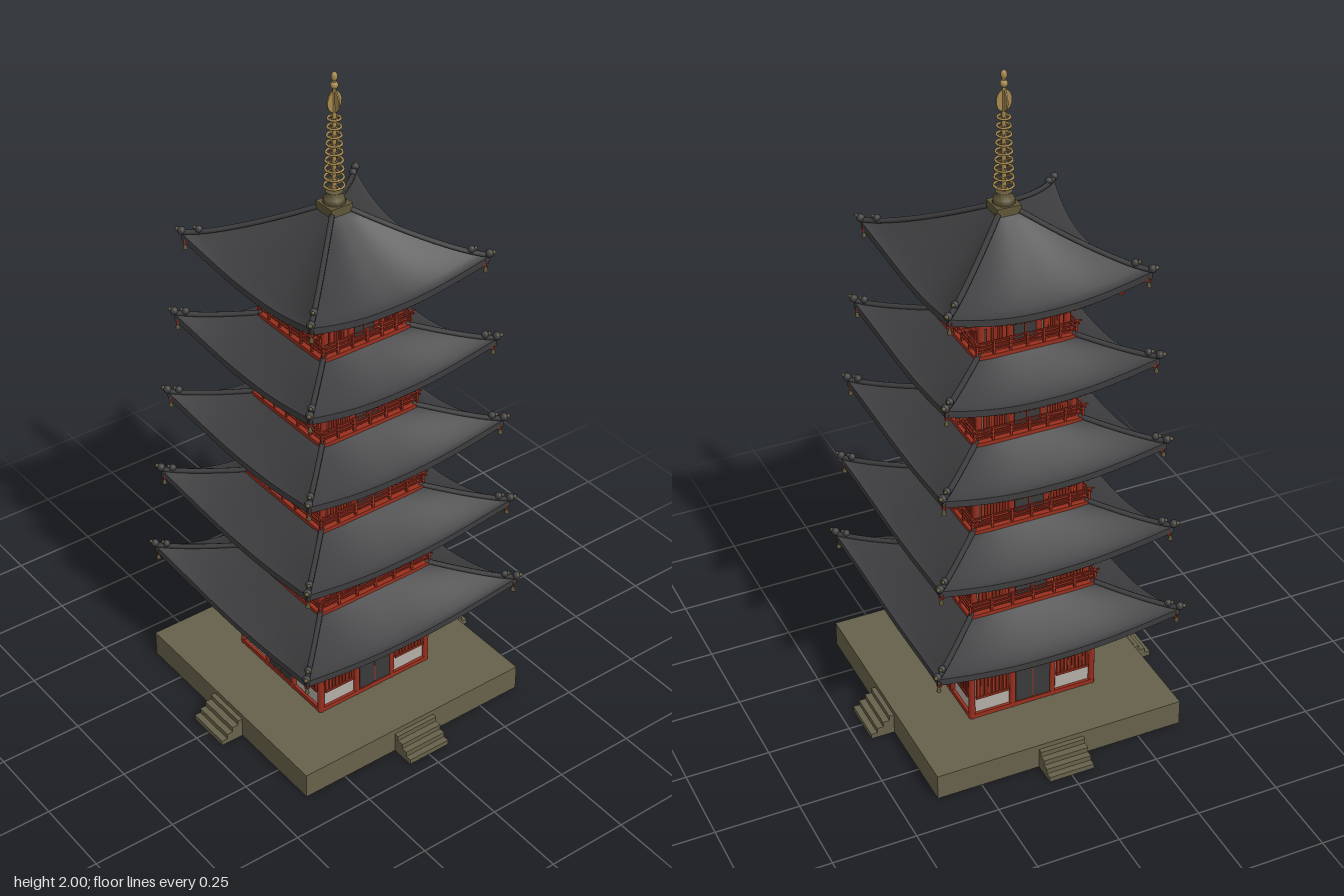
import * as THREE from 'three';
import { mergeGeometries } from 'three/addons/utils/BufferGeometryUtils.js';
import { ParametricGeometry } from 'three/addons/geometries/ParametricGeometry.js';

const material = (name, color) => Object.assign(new THREE.MeshStandardMaterial({ color }), { name });
const stone = material('stone', 0x66614a);
const tile = material('roof tile', 0x3d3d3f);
const red = material('red timber', 0x9a2f1e);
const soffitRed = material('dark red boards', 0x64200f);
const plaster = material('plaster', 0xb4aea7);
const dark = material('dark door', 0x3a3a3b);
const gold = material('gilt bronze', 0xa5884f);
const bronze = material('aged bronze', 0x5f5638);

const V = (x, y, z) => new THREE.Vector3(x, y, z);
const lerp = THREE.MathUtils.lerp;
const box = (w, h, d, x, y, z) => new THREE.BoxGeometry(w, h, d).translate(x, y, z);
const ball = (r, p) => new THREE.SphereGeometry(r, 10, 8).translate(p.x, p.y, p.z);
const cyl = (r0, r1, h, x, y, z, n = 10) => new THREE.CylinderGeometry(r0, r1, h, n).translate(x, y, z);

// Square bar from point a to point b
function bar(a, b, w, h) {
  const m = new THREE.Matrix4().lookAt(a, b, V(0, 1, 0)).setPosition(a.clone().lerp(b, 0.5));
  return new THREE.BoxGeometry(w, h, a.distanceTo(b)).applyMatrix4(m);
}

function add(parent, name, mat, geos) {
  const mesh = new THREE.Mesh(geos.length > 1 ? mergeGeometries(geos) : geos[0], mat);
  mesh.name = name;
  parent.add(mesh);
  return mesh;
}

// Repeats a part designed for the +z side on all four sides
function fourSides(parent, name, mat, geos) {
  const first = add(parent, name, mat, geos);
  for (let k = 1; k < 4; k++) {
    const copy = first.clone();
    copy.rotation.y = k * Math.PI / 2;
    parent.add(copy);
  }
}

// Point on a swept roof side: u along the eave (-1..1), v from eave to top
function slope(u, v, eave, top, yEave, yTop, power) {
  const a = Math.abs(u);
  const half = lerp(eave + 0.027 * a ** 3, top, v);
  const y = lerp(yEave, yTop, v ** power) + 0.06 * a ** 2.5 * (1 - v);
  return V(u * half, y, half);
}

const surface = (fn, nu, nv) => new ParametricGeometry((u, v, t) => t.copy(fn(u * 2 - 1, v)), nu, nv);

function buildRoof(g, t) {
  const upper = (u, v) => slope(u, v, t.eave, t.roofTop, t.ye, t.yTop, 1.25);
  const under = (u, v) => slope(u, v, t.eave, t.wall, t.ye - 0.02, t.ye + 0.02, 1);
  fourSides(g, 'roofSlope', tile, [surface(upper, 24, 10)]);
  fourSides(g, 'eaveEdge', tile, [surface((u, v) => upper(u, 0).add(V(0, (v - 1) * 0.02, 0)), 24, 1)]);
  fourSides(g, 'soffit', soffitRed, [surface((u, v) => under(-u, v), 24, 4)]);

  // Parallel rafters under the eaves
  const rafters = [];
  const n = Math.round(t.eave / 0.0145);
  for (let i = -n; i <= n; i++) {
    const x = i / n * (t.eave - 0.012);
    const at = (v) => {
      const half = lerp(t.eave, t.wall, v);
      return V(x, under(THREE.MathUtils.clamp(x / half, -1, 1), v).y - 0.004, half);
    };
    const vIn = Math.min(1, (t.eave - Math.abs(x)) / (t.eave - t.wall));
    rafters.push(bar(at(vIn), at(0.04), 0.007, 0.012));
  }
  // Hip rafter
  rafters.push(bar(under(1, 1), under(1, 0.03), 0.014, 0.018));
  fourSides(g, 'rafters', red, rafters);

  // Hip ridge with stacked end knobs and a hanging wind bell
  const pts = Array.from({ length: 9 }, (_, i) => upper(1, 1 - i / 8).add(V(0, 0.004, 0)));
  const tip = pts[8];
  const knot = upper(1, 0.13).add(V(0, 0.013, 0));
  fourSides(g, 'hipRidge', tile, [
    new THREE.TubeGeometry(new THREE.CatmullRomCurve3(pts), 16, 0.008, 6),
    ball(0.012, tip.clone().add(V(0, 0.006, 0))), ball(0.011, knot)]);
  fourSides(g, 'ridgeCap', bronze, [
    ball(0.006, tip.clone().add(V(0.008, 0.01, 0.008))), ball(0.005, knot.clone().add(V(0.008, 0.004, 0.008)))]);
  fourSides(g, 'windBell', bronze, [
    cyl(0.0015, 0.0015, 0.02, tip.x - 0.006, tip.y - 0.025, tip.z - 0.006, 5),
    cyl(0.003, 0.007, 0.016, tip.x - 0.006, tip.y - 0.042, tip.z - 0.006, 8)]);
}

function buildBrackets(g, t) {
  const parts = [];
  const y0 = t.ye - 0.068;
  for (const x of [-t.bay, t.bay]) {
    parts.push(box(0.02, 0.03, 0.02, x, y0 - 0.012, t.wall));
    for (let k = 0; k < 3; k++) {
      const reach = 0.03 * (k + 1), y = y0 + 0.024 * k;
      parts.push(box(0.012, 0.011, reach, x, y, t.wall + reach / 2));
      parts.push(box(0.055, 0.009, 0.01, x, y + 0.008, t.wall + reach - 0.006));
      // Wall arms with small bearing blocks
      parts.push(box(0.04 + 0.008 * k, 0.009, 0.012, x, y, t.wall + 0.004));
      for (const s of [-1, 1]) parts.push(box(0.011, 0.011, 0.013, x + s * 0.024, y + 0.014, t.wall + reach - 0.006));
    }
  }
  // Diagonal corner arms
  for (let k = 0; k < 3; k++) {
    const out = t.wall + 0.037 * (k + 1), y = y0 + 0.026 * k;
    parts.push(bar(V(t.wall, y, t.wall), V(out, y, out), 0.013, 0.012));
    parts.push(box(0.045, 0.009, 0.01, out - 0.02, y + 0.01, out - 0.006));
    parts.push(box(0.01, 0.009, 0.045, out - 0.006, y + 0.01, out - 0.02));
  }
  // Purlin carried by the brackets
  parts.push(box(2 * (t.wall + 0.09), 0.01, 0.01, 0, t.ye - 0.012, t.wall + 0.085));
  fourSides(g, 'brackets', red, parts);
}

function buildStorey(g, t, ground) {
  const w = t.wall, top = t.ye + 0.02, h = top - t.y0;
  add(g, 'wall', plaster, [box(2 * w, h, 2 * w, 0, t.y0 + h / 2, 0)]);

  // Posts, sill and tie beams
  const postH = t.ye - 0.06 - t.y0, frame = [];
  for (const x of [-t.bay, t.bay, w]) frame.push(cyl(0.01, 0.01, postH, x, t.y0 + postH / 2, w));
  for (const [y, bh] of [[t.y0 + 0.008, 0.014], [t.door + 0.006, 0.012], [t.ye - 0.066, 0.01]])
    frame.push(box(2 * w, bh, 0.014, 0, y, w + 0.002));

  // Double door in the middle bay
  const dh = t.door - t.y0;
  fourSides(g, 'door', dark, [box(2 * t.bay - 0.018, dh, 0.006, 0, t.y0 + dh / 2, w + 0.003)]);
  frame.push(box(0.003, dh, 0.003, 0, t.y0 + dh / 2, w + 0.006));

  // Barred windows in the side bays
  const wy = t.y0 + (ground ? 0.07 : 0.025), wh = t.door - wy;
  const ww = w - t.bay - 0.034, panes = [];
  for (const s of [-1, 1]) {
    const cx = s * (w + t.bay) / 2;
    panes.push(box(ww, wh, 0.005, cx, wy + wh / 2, w + 0.002));
    frame.push(box(ww + 0.01, 0.007, 0.012, cx, wy, w + 0.003));
    for (let i = 0; i <= 8; i++)
      frame.push(box(i % 8 ? 0.0045 : 0.007, wh, 0.008, cx + (i / 8 - 0.5) * ww, wy + wh / 2, w + 0.003));
  }
  fourSides(g, 'windowPane', soffitRed, panes);
  fourSides(g, 'timberFrame', red, frame);
  if (ground) return;

  // Balcony floor and railing
  const b = w + 0.02, rail = [];
  add(g, 'balconyFloor', red, [box(2 * b + 0.01, 0.012, 2 * b + 0.01, 0, t.y0 - 0.004, 0)]);
  for (const y of [0.016, 0.028, 0.04]) rail.push(box(2 * b + (y === 0.04 ? 0.03 : 0), 0.004, 0.004, 0, t.y0 + y, b));
  for (let i = 0; i < 6; i++) rail.push(box(0.006, 0.044, 0.006, lerp(-b, b, i / 6), t.y0 + 0.02, b));
  fourSides(g, 'railing', red, rail);
}

function buildBase(root) {
  const g = new THREE.Group();
  g.name = 'base';
  add(g, 'platformTop', stone, [box(0.772, 0.02, 0.772, 0, 0.07, 0)]);
  fourSides(g, 'platformWall', stone, [box(0.772, 0.06, 0.015, 0, 0.03, 0.3785)]);
  const steps = [0.4, 0.42, 0.439, 0.458].map((z, i) => {
    const h = 0.064 - i * 0.016;
    return box(0.14, h, z - 0.38, 0, h / 2, (z + 0.38) / 2);
  });
  fourSides(g, 'steps', stone, steps);
  root.add(g);
}

function buildFinial(root) {
  const g = new THREE.Group();
  g.name = 'finial';
  const bowl = [[0, 1.622], [0.032, 1.622], [0.028, 1.638], [0.016, 1.648], [0.024, 1.656], [0, 1.656]];
  add(g, 'finialBase', bronze, [
    box(0.07, 0.026, 0.07, 0, 1.609, 0),
    new THREE.LatheGeometry(bowl.map(([r, y]) => new THREE.Vector2(r, y)), 16).toNonIndexed()
  ].map((q) => (q.index ? q.toNonIndexed() : q)));
  add(g, 'finialPole', gold, [cyl(0.005, 0.007, 0.33, 0, 1.815, 0)]);
  // Nine tapering rings with spokes
  const rings = [];
  for (let i = 0; i < 9; i++) {
    const r = lerp(0.027, 0.017, i / 8), y = 1.672 + i * 0.0245;
    rings.push(new THREE.TorusGeometry(r, 0.0035, 6, 18).rotateX(Math.PI / 2).translate(0, y, 0));
    rings.push(box(2 * r, 0.003, 0.004, 0, y, 0), box(0.004, 0.003, 2 * r, 0, y, 0));
  }
  add(g, 'finialRings', gold, rings);
  // Crossed flame plates and jewels
  const plate = () => new THREE.CylinderGeometry(0.023, 0.023, 0.004, 14).rotateX(Math.PI / 2).scale(1, 1.35, 1);
  add(g, 'flamePlates', gold, [plate().translate(0, 1.915, 0), plate().rotateY(Math.PI / 2).translate(0, 1.915, 0)]);
  add(g, 'jewels', gold, [ball(0.011, V(0, 1.962, 0)), new THREE.SphereGeometry(0.009, 10, 8).scale(1, 1.5, 1).translate(0, 1.9865, 0)]);
  root.add(g);
}

export function createModel() {
  const root = new THREE.Group();
  root.name = 'pagoda';
  buildBase(root);

  const floors = [0.08, 0.45, 0.725, 1.0, 1.26];
  const doors = [0.24, 0.54, 0.82, 1.08, 1.335];
  const eaves = [0.357, 0.636, 0.91, 1.173, 1.43];
  for (let i = 0; i < 5; i++) {
    const wall = 0.192 - 0.0163 * i;
    const t = {
      wall, bay: wall * 0.33, y0: floors[i], door: doors[i], ye: eaves[i],
      eave: 0.349 - 0.021 * i,
      roofTop: i < 4 ? wall - 0.005 : 0.032,
      yTop: i < 4 ? floors[i + 1] - 0.003 : 1.6
    };
    const g = new THREE.Group();
    g.name = `storey${i + 1}`;
    buildStorey(g, t, i === 0);
    buildBrackets(g, t);
    buildRoof(g, t);
    root.add(g);
  }
  buildFinial(root);
  return root;
}
